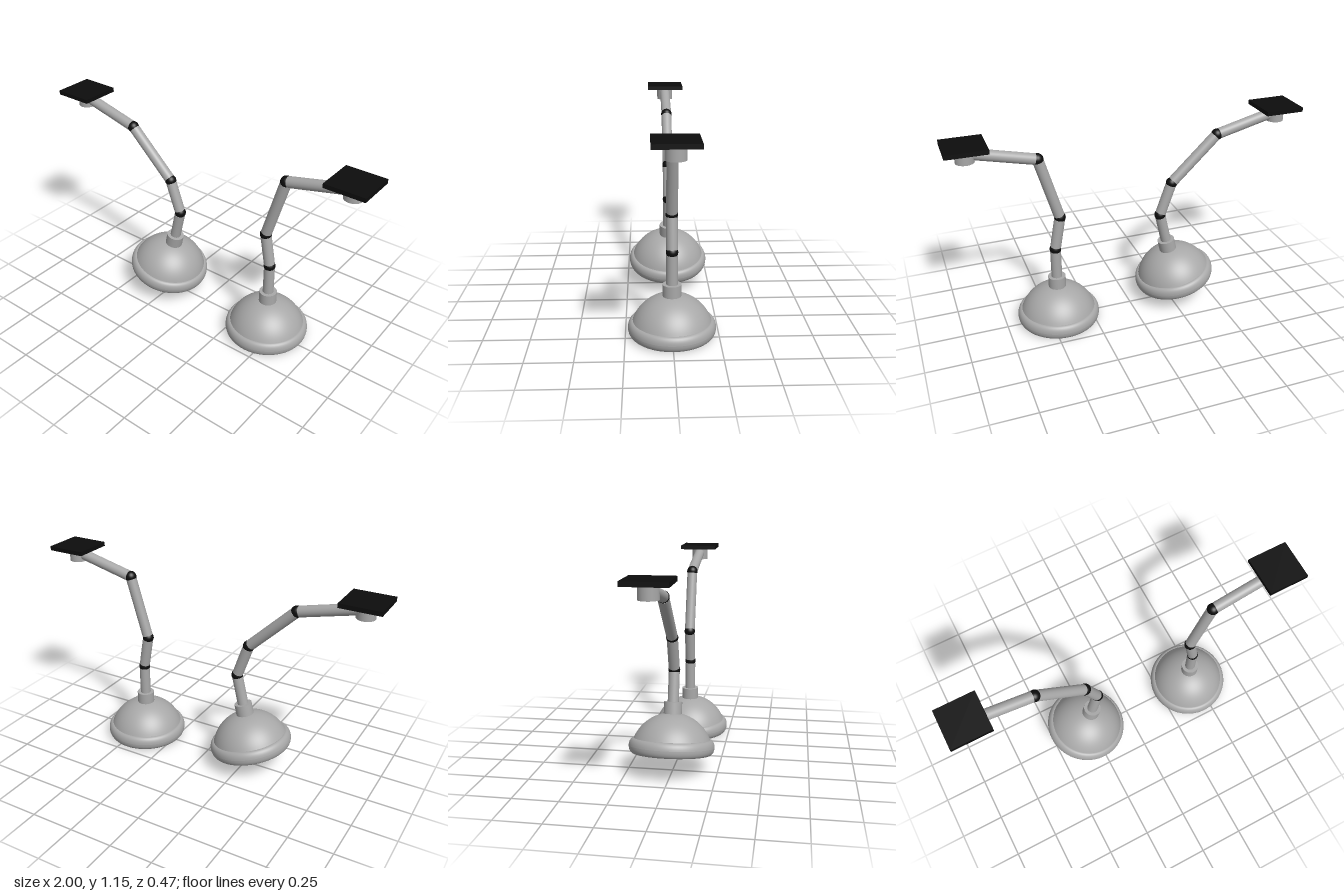
import * as THREE from 'three';

const TUBE_R = 0.0305, JOINT_R = 0.0325, GAP = 0.014, HEAD_H = 0.462;

export function createModel() {
  const grey = new THREE.MeshStandardMaterial({ color: 0xa8a8a8 });
  grey.name = 'satin grey';
  const black = new THREE.MeshStandardMaterial({ color: 0x0d0d0d });
  black.name = 'black';

  const add = (parent, name, geometry, material, x = 0, y = 0, z = 0) => {
    const mesh = new THREE.Mesh(geometry, material);
    mesh.name = name;
    mesh.position.set(x, y, z);
    parent.add(mesh);
    return mesh;
  };

  // Straight tube between two points
  const addTube = (parent, name, a, b) => {
    const dir = b.clone().sub(a);
    const tube = add(parent, name, new THREE.CylinderGeometry(TUBE_R, TUBE_R, dir.length(), 32), grey);
    tube.position.copy(a).add(b).multiplyScalar(0.5);
    tube.quaternion.setFromUnitVectors(new THREE.Vector3(0, 1, 0), dir.normalize());
  };

  // Lamp head: rolled rim, domed shade, closing disc, socket and neck
  const createHead = () => {
    const head = new THREE.Group();
    head.name = 'lampHead';

    const rim = [];
    for (let i = 0; i <= 32; i++) {
      const t = (i / 32) * Math.PI * 2;
      rim.push(new THREE.Vector2(0.21 + 0.026 * Math.cos(t), 0.0415 + 0.0415 * Math.sin(t)));
    }
    add(head, 'shadeRim', new THREE.LatheGeometry(rim, 64), grey);

    const R = 0.226, base = Math.asin(0.21 / R), dome = [];
    for (let i = 0; i <= 20; i++) {
      const t = base * (1 - i / 20);
      dome.push(new THREE.Vector2(R * Math.sin(t), 0.225 - R + R * Math.cos(t)));
    }
    add(head, 'shadeDome', new THREE.LatheGeometry(dome, 64), grey);

    const disc = add(head, 'shadeUnderside', new THREE.CircleGeometry(0.205, 64), grey, 0, 0.07, 0);
    disc.rotation.x = Math.PI / 2;

    add(head, 'socket', new THREE.CylinderGeometry(0.05, 0.05, 0.075, 40), grey, 0, 0.2475, 0);
    addTube(head, 'neckTube', new THREE.Vector3(0, 0.25, 0), new THREE.Vector3(0, HEAD_H - GAP, 0));
    return head;
  };

  // Whole lamp: mounting plate, hub, jointed arm and head
  const createLamp = (name, mountX, headX, headY, tilt, elbows) => {
    const lamp = new THREE.Group();
    lamp.name = name;
    add(lamp, 'mountingPlate', new THREE.BoxGeometry(0.224, 0.024, 0.224), black, mountX, 1.143, 0);
    add(lamp, 'mountingHub', new THREE.CylinderGeometry(0.05, 0.05, 0.072, 40), grey, mountX, 1.096, 0);

    const head = createHead();
    head.position.set(headX, headY, 0);
    head.rotation.z = -tilt;
    lamp.add(head);

    const wrist = new THREE.Vector3(headX + HEAD_H * Math.sin(tilt), headY + HEAD_H * Math.cos(tilt), 0);
    const start = new THREE.Vector3(mountX - Math.sign(mountX) * 0.03, 1.101, 0);
    const points = [start, ...elbows.map(([x, y]) => new THREE.Vector3(x, y, 0)), wrist];
    for (let i = 1; i < points.length; i++) {
      const step = points[i].clone().sub(points[i - 1]).setLength(GAP);
      const from = i === 1 ? points[0] : points[i - 1].clone().add(step);
      addTube(lamp, 'armTube' + i, from, points[i].clone().sub(step));
      add(lamp, 'armJoint' + i, new THREE.SphereGeometry(JOINT_R, 32, 20), black, points[i].x, points[i].y, 0);
    }
    return lamp;
  };

  const model = new THREE.Group();
  model.name = 'pairOfLamps';
  model.add(
    createLamp('uprightLamp', 0.888, 0.445, 0, 0, [[0.515, 1.02], [0.41, 0.658]]),
    createLamp('tiltedLamp', -0.888, -0.292, 0.114, 0.23, [[-0.525, 1.018], [-0.254, 0.758]])
  );
  return model;
}
